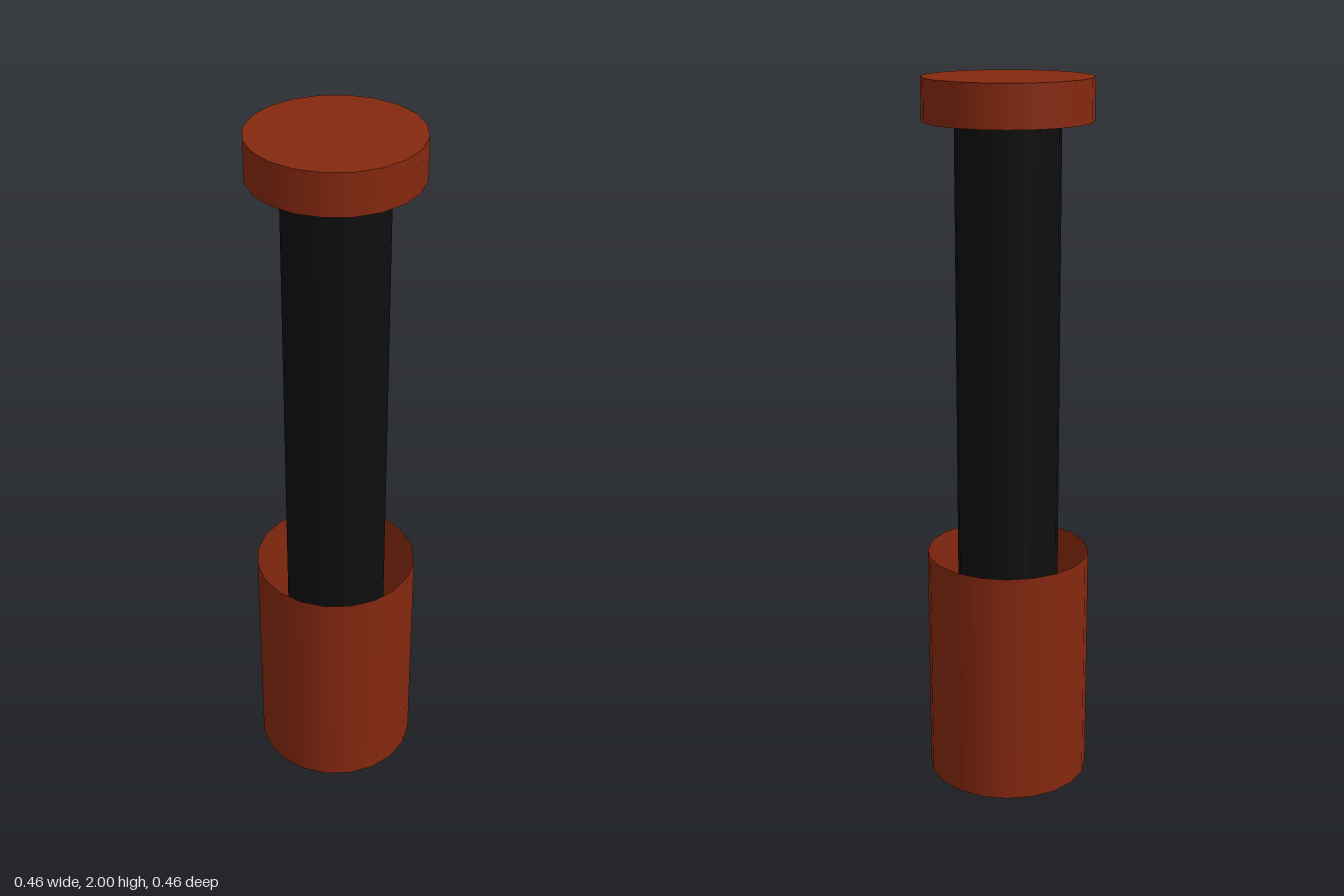
import * as THREE from 'three';

const SIDES = 20;
const RADIUS = 0.23;

const red = new THREE.MeshStandardMaterial({ color: 0x85280f, side: THREE.DoubleSide });
const black = new THREE.MeshStandardMaterial({ color: 0x0e0e0e });

// Thin-walled cup: an open tube closed by a disc at one end
function makeCup(name, bottom, top, closedAtTop) {
  const cup = new THREE.Group();
  cup.name = name;

  const wall = new THREE.Mesh(
    new THREE.CylinderGeometry(RADIUS, RADIUS, top - bottom, SIDES, 1, true), red);
  wall.name = name + 'Wall';
  wall.position.y = (top + bottom) / 2;

  const disc = new THREE.Mesh(new THREE.CircleGeometry(RADIUS, SIDES), red);
  disc.name = name + 'Disc';
  disc.rotation.x = closedAtTop ? -Math.PI / 2 : Math.PI / 2;
  disc.position.y = closedAtTop ? top : bottom;

  cup.add(wall, disc);
  return cup;
}

export function createModel() {
  const model = new THREE.Group();
  model.name = 'plunger';

  // Hollow base sleeve, open upwards, and shallow end cap, open downwards
  model.add(makeCup('baseSleeve', 0, 0.675, false));
  model.add(makeCup('endCap', 1.885, 2, true));

  // Shaft running inside both cups
  const low = 0.01, high = 1.99;
  const shaft = new THREE.Mesh(
    new THREE.CylinderGeometry(0.143, 0.143, high - low, SIDES), black);
  shaft.name = 'shaft';
  shaft.position.y = (low + high) / 2;
  model.add(shaft);

  return model;
}
